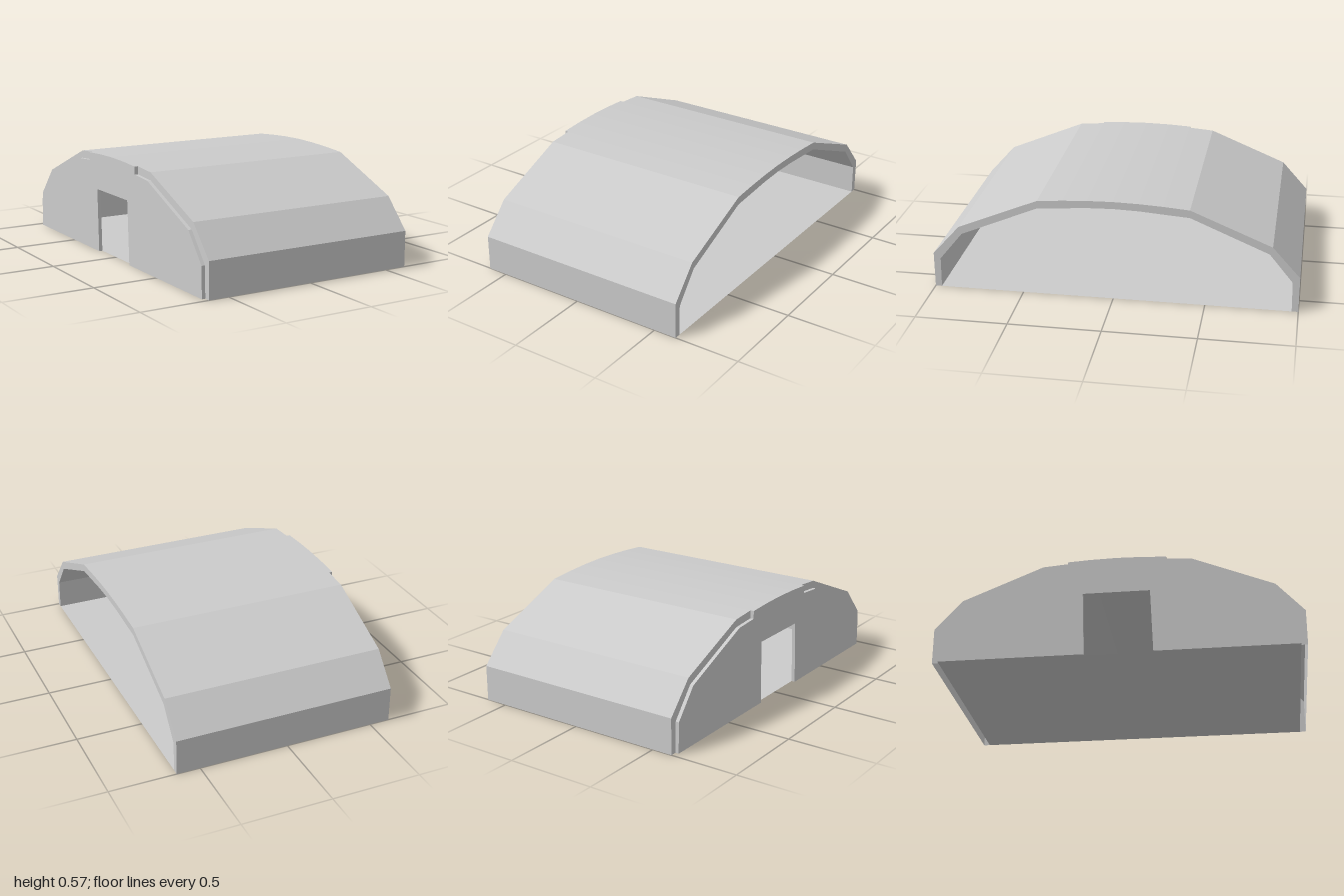
import * as THREE from 'three';
import { mergeGeometries } from 'three/addons/utils/BufferGeometryUtils.js';

const BACK = -0.635, SHELL = -0.615, OPEN = 0.63;

// Half profiles from the ground up to the crown: [distance from centre, height]
const OUTER = [[1, 0], [1, 0.2], [0.85, 0.367], [0.41, 0.549], [0.27, 0.56], [0.14, 0.567], [0, 0.57]];
const INNER = [[0.965, 0], [0.962, 0.17], [0.835, 0.326], [0.41, 0.506], [0.27, 0.516], [0.14, 0.526], [0, 0.53]];

const vec = ([u, y]) => new THREE.Vector2(u, y);

// Full arch from the right foot over the crown to the left foot
function arch(half) {
  const left = half.slice(0, -1).reverse().map(([u, y]) => [-u, y]);
  return [...half, ...left].map(vec);
}

// Drawn in (-z, y) and turned so that depth runs along x
function place(geometry, x) {
  return geometry.rotateY(Math.PI / 2).translate(x, 0, 0);
}

// Removes the triangles lying on the ground, leaving the underside open
function openBottom(geometry) {
  const src = geometry.attributes.position;
  const kept = [];
  for (let i = 0; i < src.count; i += 3) {
    if ([0, 1, 2].every(k => src.getY(i + k) < 1e-4)) continue;
    for (let k = 0; k < 3; k++) kept.push(src.getX(i + k), src.getY(i + k), src.getZ(i + k));
  }
  const result = new THREE.BufferGeometry();
  result.setAttribute('position', new THREE.Float32BufferAttribute(kept, 3));
  result.computeVertexNormals();
  return result;
}

// End wall outline: inner arch, raised to the outer arch in the middle, with a doorway
function wallOutline(lintelPeak) {
  const half = [...INNER.slice(0, 5), ...OUTER.slice(4)];
  const doorway = [[-0.195, 0], [-0.18, 0.36], [0, lintelPeak], [0.185, 0.36], [0.175, 0]].map(vec);
  return [...arch(half), ...doorway];
}

// Joins two outlines with the same number of points into a closed slab
function slab(back, front, depth) {
  const p = [];
  back.forEach((a, i) => {
    const j = (i + 1) % back.length;
    const b = back[j], c = front[j], d = front[i];
    p.push(a.x, a.y, 0, b.x, b.y, 0, c.x, c.y, depth);
    p.push(a.x, a.y, 0, c.x, c.y, depth, d.x, d.y, depth);
  });
  const sides = new THREE.BufferGeometry();
  sides.setAttribute('position', new THREE.Float32BufferAttribute(p, 3));
  const frontCap = new THREE.ShapeGeometry(new THREE.Shape(front)).translate(0, 0, depth);
  const backCap = new THREE.ShapeGeometry(new THREE.Shape(back));
  backCap.index.array.reverse();
  const parts = [sides, frontCap, backCap].map(g => {
    const flat = g.index ? g.toNonIndexed() : g;
    flat.deleteAttribute('uv');
    flat.computeVertexNormals();
    return flat;
  });
  return mergeGeometries(parts);
}

export function createModel() {
  const group = new THREE.Group();
  const material = new THREE.MeshStandardMaterial({
    color: 0xcccccc, flatShading: true, side: THREE.DoubleSide,
  });
  const add = (name, geometry) => {
    const mesh = new THREE.Mesh(geometry, material);
    mesh.name = name;
    group.add(mesh);
  };

  // Arched roof shell, open at one end and underneath
  const ring = new THREE.Shape([...arch(OUTER), ...arch(INNER).reverse()]);
  const shell = new THREE.ExtrudeGeometry(ring, { depth: OPEN - SHELL, bevelEnabled: false });
  add('roofShell', openBottom(place(shell, SHELL)));

  // End wall: flat lintel outside, peaked lintel inside
  add('endWall', place(slab(wallOutline(0.36), wallOutline(0.44), SHELL - BACK), BACK));

  // Floor between the side walls
  const floor = new THREE.PlaneGeometry(OPEN - SHELL, 2 * INNER[0][0]);
  floor.rotateX(-Math.PI / 2).translate((OPEN + SHELL) / 2, 0, 0);
  add('floor', floor);

  return group;
}
